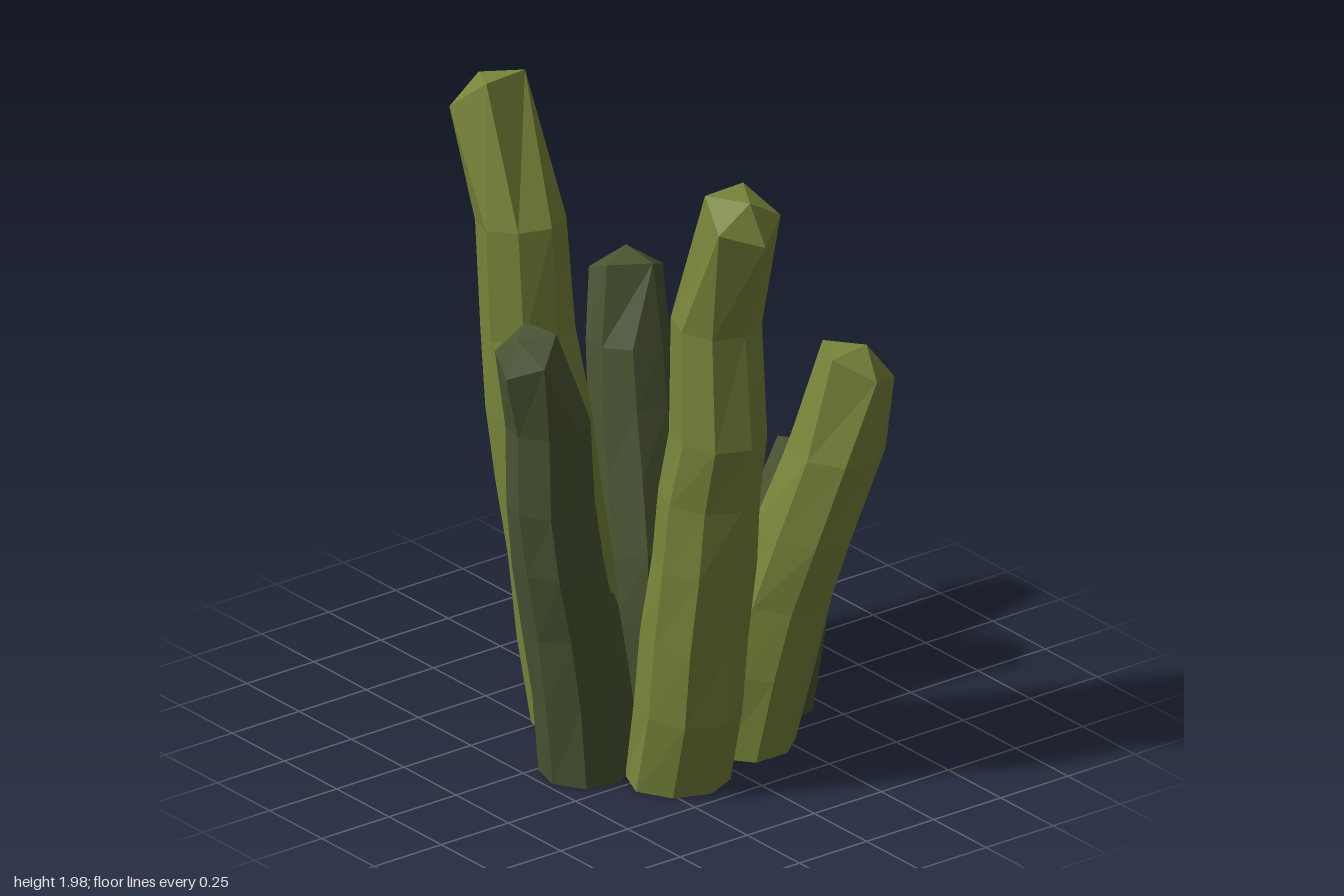
import * as THREE from 'three';

const SIDES = 8;
const UP = new THREE.Vector3(0, 1, 0);

// One hollow faceted stalk, open at the ground, ending in a slanted five-sided tip.
// rings: [x, y, z, radius] from the ground to the tip.
function stalk(name, material, rings) {
  const centres = rings.map(r => new THREE.Vector3(r[0], r[1], r[2]));
  const last = rings.length - 1;
  const tipDir = centres[last].clone().sub(centres[last - 1]).normalize();
  const heading = Math.atan2(tipDir.x, tipDir.z);
  const pos = [], index = [];
  let normal;
  rings.forEach((ring, i) => {
    // the base is level, the rings lean a little, the tip leans outward strongly
    const dir = centres[Math.min(i + 1, last)].clone().sub(centres[Math.max(i - 1, 0)]).normalize();
    const lean = i === 0 ? 0 : i === last ? 2 : 0.4;
    normal = UP.clone().lerp(dir, lean).normalize();
    const tilt = new THREE.Quaternion().setFromUnitVectors(UP, normal);
    for (let k = 0; k < SIDES; k++) {
      // the tip ring merges eight corners into five
      const step = i === last ? Math.round(k * 5 / SIDES) / 5 : k / SIDES;
      const a = step * Math.PI * 2 + heading;
      const r = ring[3] * (i === last ? 1 : 1 + 0.025 * Math.sin(k * 2.4 + i * 1.7));
      const p = new THREE.Vector3(Math.sin(a) * r, 0, Math.cos(a) * r).applyQuaternion(tilt).add(centres[i]);
      pos.push(p.x, p.y, p.z);
    }
  });
  const top = pos.length / 3;
  pos.push(...centres[last].clone().addScaledVector(normal, 0.06).toArray());
  for (let k = 0; k < SIDES; k++) {
    const n = (k + 1) % SIDES;
    for (let i = 0; i < last; i++) {
      const a = i * SIDES + k, b = i * SIDES + n;
      index.push(a, b, b + SIDES, a, b + SIDES, a + SIDES);
    }
    index.push(top, last * SIDES + k, last * SIDES + n);
  }
  const geo = new THREE.BufferGeometry();
  geo.setAttribute('position', new THREE.Float32BufferAttribute(pos, 3));
  geo.setIndex(index);
  geo.computeVertexNormals();
  const mesh = new THREE.Mesh(geo, material);
  mesh.name = name;
  return mesh;
}

export function createModel() {
  const light = new THREE.MeshStandardMaterial({ color: 0x78853a, flatShading: true, side: THREE.DoubleSide });
  light.name = 'olive green';
  const dark = new THREE.MeshStandardMaterial({ color: 0x4a5533, flatShading: true, side: THREE.DoubleSide });
  dark.name = 'dark green';

  const group = new THREE.Group();
  group.name = 'stalkCluster';
  group.add(
    // tall light stalks on either side
    stalk('rightTallStalk', light, [
      [-0.17, 0.01, 0.145, 0.15], [-0.24, 0.27, 0.145, 0.155], [-0.28, 0.52, 0.145, 0.155],
      [-0.34, 0.75, 0.14, 0.155], [-0.39, 0.96, 0.14, 0.155], [-0.445, 1.19, 0.14, 0.14],
      [-0.46, 1.54, 0.15, 0.135], [-0.606, 1.905, 0.16, 0.13]]),
    stalk('leftTallStalk', light, [
      [0.3, 0.01, 0.16, 0.155], [0.365, 0.27, 0.165, 0.16], [0.39, 0.51, 0.165, 0.16],
      [0.425, 0.76, 0.16, 0.155], [0.445, 0.98, 0.155, 0.15], [0.495, 1.19, 0.155, 0.145],
      [0.48, 1.55, 0.155, 0.135], [0.6, 1.93, 0.15, 0.125]]),
    stalk('backLeftStalk', light, [
      [0.225, 0.01, -0.155, 0.15], [0.27, 0.28, -0.185, 0.155], [0.305, 0.5, -0.225, 0.155],
      [0.36, 0.72, -0.27, 0.155], [0.42, 0.98, -0.335, 0.15], [0.45, 1.25, -0.395, 0.125]]),
    // shorter dark stalks
    stalk('frontStalk', dark, [
      [0.09, 0.01, 0.34, 0.14], [0.095, 0.27, 0.365, 0.14], [0.095, 0.5, 0.4, 0.14],
      [0.1, 0.72, 0.45, 0.135], [0.1, 0.92, 0.48, 0.13], [0.105, 1.18, 0.49, 0.125],
      [0.12, 1.44, 0.585, 0.105]]),
    stalk('backRightStalk', dark, [
      [-0.215, 0.01, -0.13, 0.145], [-0.245, 0.27, -0.14, 0.145], [-0.275, 0.48, -0.16, 0.145],
      [-0.325, 0.7, -0.18, 0.14], [-0.37, 0.9, -0.195, 0.135], [-0.4, 1.08, -0.205, 0.125],
      [-0.44, 1.29, -0.23, 0.115]]),
    stalk('backStalk', dark, [
      [0.05, 0.01, -0.375, 0.145], [0.06, 0.2, -0.4, 0.145], [0.03, 0.36, -0.45, 0.145],
      [-0.01, 0.53, -0.49, 0.14], [0.01, 0.735, -0.56, 0.115]]),
    // short stub mostly buried in the right tall stalk
    stalk('innerStub', dark, [
      [-0.145, 0.01, 0.14, 0.142], [-0.19, 0.18, 0.14, 0.142], [-0.235, 0.36, 0.14, 0.142],
      [-0.27, 0.5, 0.14, 0.11]])
  );
  return group;
}
